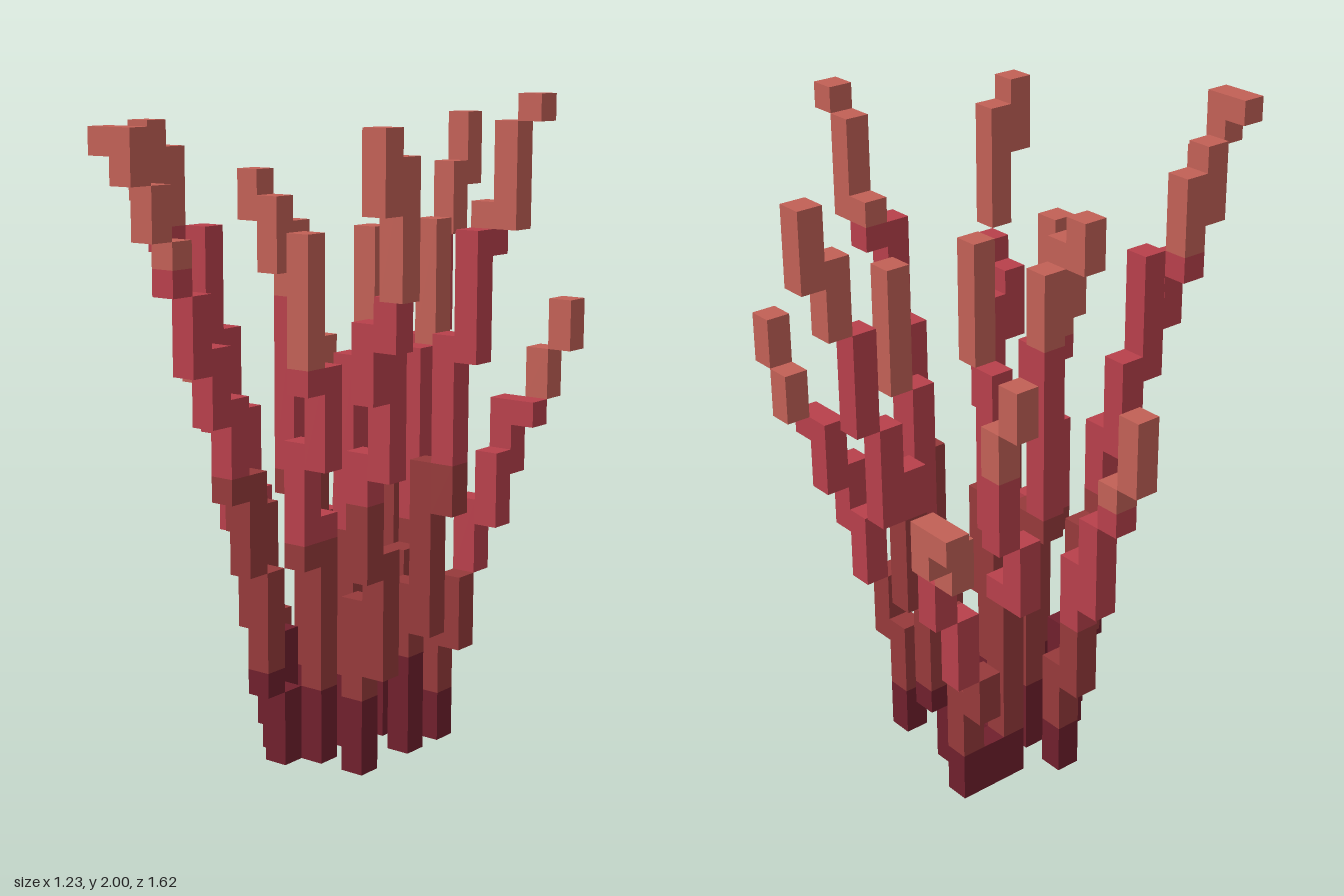
import * as THREE from 'three';

// One block is 1/13 of a unit; the tallest stalk is 26 blocks high.
const U = 1 / 13;

const flat = (name, color) => {
  const m = new THREE.MeshStandardMaterial({ color });
  m.name = name;
  return m;
};
const materials = [
  flat('dark maroon', 0x70202d),
  flat('brick brown', 0x963a3b),
  flat('crimson', 0xb8404b),
  flat('coral', 0xc26056),
];
const bandNames = ['Root', 'Lower', 'Middle', 'Tip'];

// Each stalk climbs outwards in steps. bands: heights where the colour changes.
// runs: [column x, column z, bottom, top] in blocks.
const stalks = {
  frontStalk: { bands: [4, 12, 20], runs: [
    [-1, 2, 0, 3], [-1, 3, 3, 8], [-1, 4, 8, 12], [-1, 5, 11, 15], [-1, 6, 14, 17],
    [-1, 7, 16, 19], [-1, 8, 19, 21], [-1, 9, 21, 23], [-1, 10, 23, 25], [-2, 10, 24, 25]] },
  backStalk: { bands: [4, 12, 20], runs: [
    [-1, -4, 0, 4], [-1, -5, 3, 11], [-1, -6, 8, 14], [-1, -7, 12, 16],
    [-1, -8, 16, 20], [-1, -9, 20, 23], [-1, -10, 22, 25]] },
  frontRightStalk: { bands: [5, 11, 21], runs: [
    [-2, 1, 0, 5], [-3, 1, 5, 10], [-3, 2, 9, 14], [-4, 2, 13, 17],
    [-4, 3, 16, 21], [-5, 4, 20, 24], [-5, 5, 22, 25]] },
  frontLeftStalk: { bands: [3, 11, 19], runs: [
    [2, 1, 0, 7], [3, 1, 4, 9], [3, 2, 8, 13], [4, 2, 12, 17], [4, 3, 15, 18],
    [5, 3, 17, 19], [6, 4, 19, 24], [6, 5, 22, 25]] },
  backLeftStalk: { bands: [2, 7, 14], runs: [
    [2, -4, 0, 5], [3, -4, 4, 7], [3, -5, 7, 10], [4, -5, 9, 12], [4, -6, 11, 14],
    [5, -6, 13, 14], [5, -7, 14, 16], [6, -7, 16, 18]] },
  leftStalk: { bands: [4, 12, 21], runs: [
    [2, -2, 0, 7], [3, -2, 5, 12], [4, -2, 10, 17], [5, -2, 16, 21],
    [5, -3, 20, 22], [6, -3, 21, 25], [7, -3, 25, 26]] },
  backRightStalk: { bands: [2, 6, 11], runs: [
    [-3, -4, 0, 2], [-3, -5, 0, 5], [-4, -5, 4, 6], [-4, -6, 6, 9], [-4, -7, 9, 11],
    [-5, -7, 11, 13], [-5, -8, 12, 14], [-6, -8, 13, 14]] },
  rightStalk: { bands: [2, 7, 13], runs: [
    [-4, -1, 0, 5], [-5, -1, 4, 10], [-6, -1, 8, 12], [-7, -1, 12, 14], [-8, -1, 14, 17]] },
  rightRearStalk: { bands: [2, 8, 14], runs: [
    [-2, -3, 0, 2], [-3, -3, 0, 9], [-4, -3, 8, 11], [-4, -4, 11, 16], [-5, -4, 16, 18]] },
  rightInnerStalk: { bands: [3, 11, 18], runs: [
    [-2, -1, 0, 11], [-3, -1, 10, 21], [-3, 0, 19, 22], [-4, 0, 21, 23]] },
  centreStalk: { bands: [3, 9, 16], runs: [[0, -1, 0, 16], [1, -1, 16, 21]] },
  centreFrontStalk: { bands: [3, 9, 16], runs: [
    [0, 1, 0, 10], [0, 2, 8, 13], [1, 2, 12, 16], [1, 3, 15, 21]] },
  centreBackStalk: { bands: [3, 9, 16], runs: [
    [0, -3, 0, 6], [1, -3, 5, 8], [1, -4, 8, 16], [1, -5, 16, 21]] },
};

// Splits a stalk's runs at its colour heights and makes a box for every piece
function makeStalk(name, { bands, runs }) {
  const stalk = new THREE.Group();
  stalk.name = name;
  const limits = [0, ...bands, 26];
  for (const [x, z, bottom, top] of runs) {
    materials.forEach((material, i) => {
      const lo = Math.max(bottom, limits[i]);
      const hi = Math.min(top, limits[i + 1]);
      if (hi <= lo) return;
      const block = new THREE.Mesh(new THREE.BoxGeometry(U, (hi - lo) * U, U), material);
      block.name = name + bandNames[i];
      block.position.set((x + 0.5) * U, ((lo + hi) / 2) * U, z * U);
      stalk.add(block);
    });
  }
  return stalk;
}

export function createModel() {
  const model = new THREE.Group();
  model.name = 'blockCoral';
  for (const [name, spec] of Object.entries(stalks)) model.add(makeStalk(name, spec));
  return model;
}
